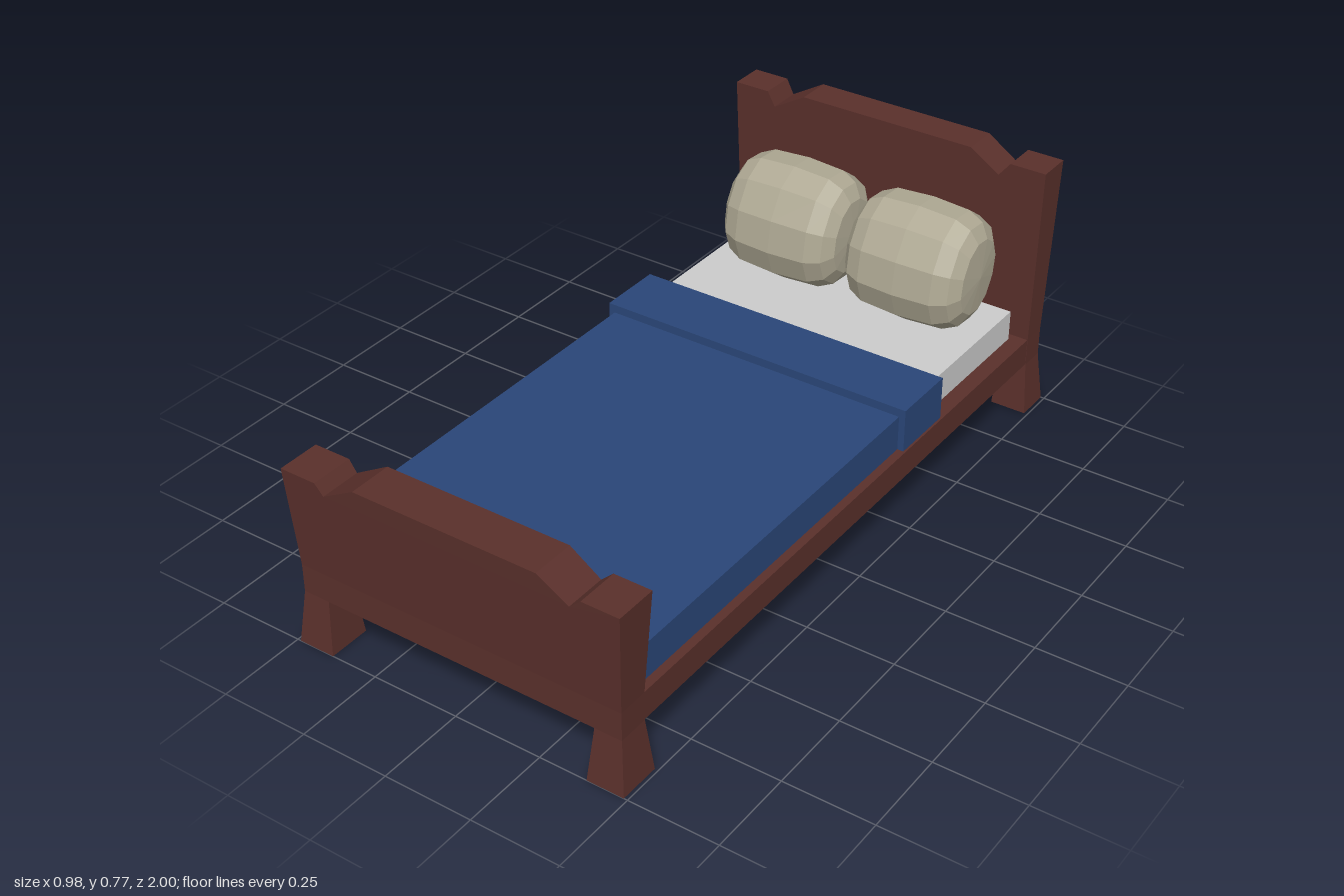
import * as THREE from 'three';

const mat = (color) => new THREE.MeshStandardMaterial({ color, flatShading: true });

export function createModel() {
  const bed = new THREE.Group();
  bed.name = 'bed';
  const wood = mat(0x5a302b);
  const blue = mat(0x2a4678);
  const sheet = mat(0xcccccc);
  const cushion = mat(0xaea893);

  const add = (parent, name, geometry, material) => {
    const mesh = new THREE.Mesh(geometry, material);
    mesh.name = name;
    parent.add(mesh);
    return mesh;
  };

  // Box given by its half width and its y and z ranges
  const box = (name, halfX, y0, y1, z0, z1, material) => {
    const mesh = add(bed, name, new THREE.BoxGeometry(halfX * 2, y1 - y0, z1 - z0), material);
    mesh.position.set(0, (y0 + y1) / 2, (z0 + z1) / 2);
  };

  // Outline in x/y, extruded so that its back and front planes lean:
  // low and high are [y, zBack, zFront]
  const slab = (points, low, high, hole) => {
    const shape = new THREE.Shape(points.map(([x, y]) => new THREE.Vector2(x, y)));
    if (hole) shape.holes.push(new THREE.Path(hole.map(([x, y]) => new THREE.Vector2(x, y))));
    const geometry = new THREE.ExtrudeGeometry(shape, { depth: 1, bevelEnabled: false });
    const p = geometry.attributes.position;
    for (let i = 0; i < p.count; i++) {
      const t = (p.getY(i) - low[0]) / (high[0] - low[0]);
      const side = p.getZ(i) > 0.5 ? 2 : 1;
      p.setZ(i, low[side] + (high[side] - low[side]) * t);
    }
    geometry.computeVertexNormals();
    return geometry;
  };

  // End board: flared legs, straight waist and a panel with notched top
  const endBoard = (name, postTop, notch, crest, wide, waist, hole) => {
    const board = new THREE.Group();
    board.name = name;
    bed.add(board);
    const panel = [
      [-0.475, 0.23], [0.475, 0.23], [0.49, postTop], [0.385, postTop], [0.352, notch],
      [0.265, crest], [-0.265, crest], [-0.362, notch], [-0.385, postTop], [-0.49, postTop],
    ];
    add(board, 'panel', slab(panel, [0.23, ...waist], [postTop, ...wide], hole), wood);
    const rail = [[-0.475, 0.15], [0.475, 0.15], [0.475, 0.23], [-0.475, 0.23]];
    add(board, 'lowerRail', slab(rail, [0.15, ...waist], [0.23, ...waist]), wood);
    for (const s of [-1, 1]) {
      const leg = [[0.385, 0], [0.49, 0], [0.475, 0.15], [0.398, 0.15]].map(([x, y]) => [x * s, y]);
      add(board, s > 0 ? 'leftLeg' : 'rightLeg', slab(leg, [0, ...wide], [0.15, ...waist]), wood);
    }
  };
  // Narrow slot just above the frame of the headboard
  const slot = [[-0.41, 0.232], [-0.41, 0.25], [0.41, 0.25], [0.41, 0.232]];
  endBoard('headboard', 0.755, 0.713, 0.77, [-1, -0.9], [-0.985, -0.912], slot);
  endBoard('footboard', 0.515, 0.485, 0.54, [0.88, 1], [0.895, 0.982]);

  // Frame, mattress and bedding
  box('frame', 0.474, 0.151, 0.23, -0.95, 0.95, wood);
  box('mattress', 0.428, 0.23, 0.318, -0.888, 0.88, sheet);
  box('blanket', 0.45, 0.23, 0.33, -0.26, 0.895, blue);
  box('blanketFold', 0.468, 0.23, 0.354, -0.44, -0.25, blue);

  // Pillows: sphere squared off into a soft cushion, leaning back
  const power = (v, e) => Math.sign(v) * Math.abs(v) ** e;
  const pillowGeometry = new THREE.SphereGeometry(1, 12, 8);
  pillowGeometry.rotateZ(-Math.PI / 2);
  const p = pillowGeometry.attributes.position;
  for (let i = 0; i < p.count; i++) {
    const x = p.getX(i);
    const r = Math.hypot(p.getY(i), p.getZ(i));
    const k = r > 1e-5 ? power(r, 0.55) / r : 0;
    const y = power(p.getY(i) * k, 0.92);
    const z = power(p.getZ(i) * k, 0.92);
    p.setXYZ(i, power(x, 0.55) * 0.188, y * 0.174, z * 0.143);
  }
  pillowGeometry.computeVertexNormals();
  for (const [name, x] of [['rightPillow', -0.186], ['leftPillow', 0.21]]) {
    const pillow = add(bed, name, pillowGeometry, cushion);
    pillow.position.set(x, 0.48, -0.752);
    pillow.rotation.x = -0.35;
  }
  return bed;
}
